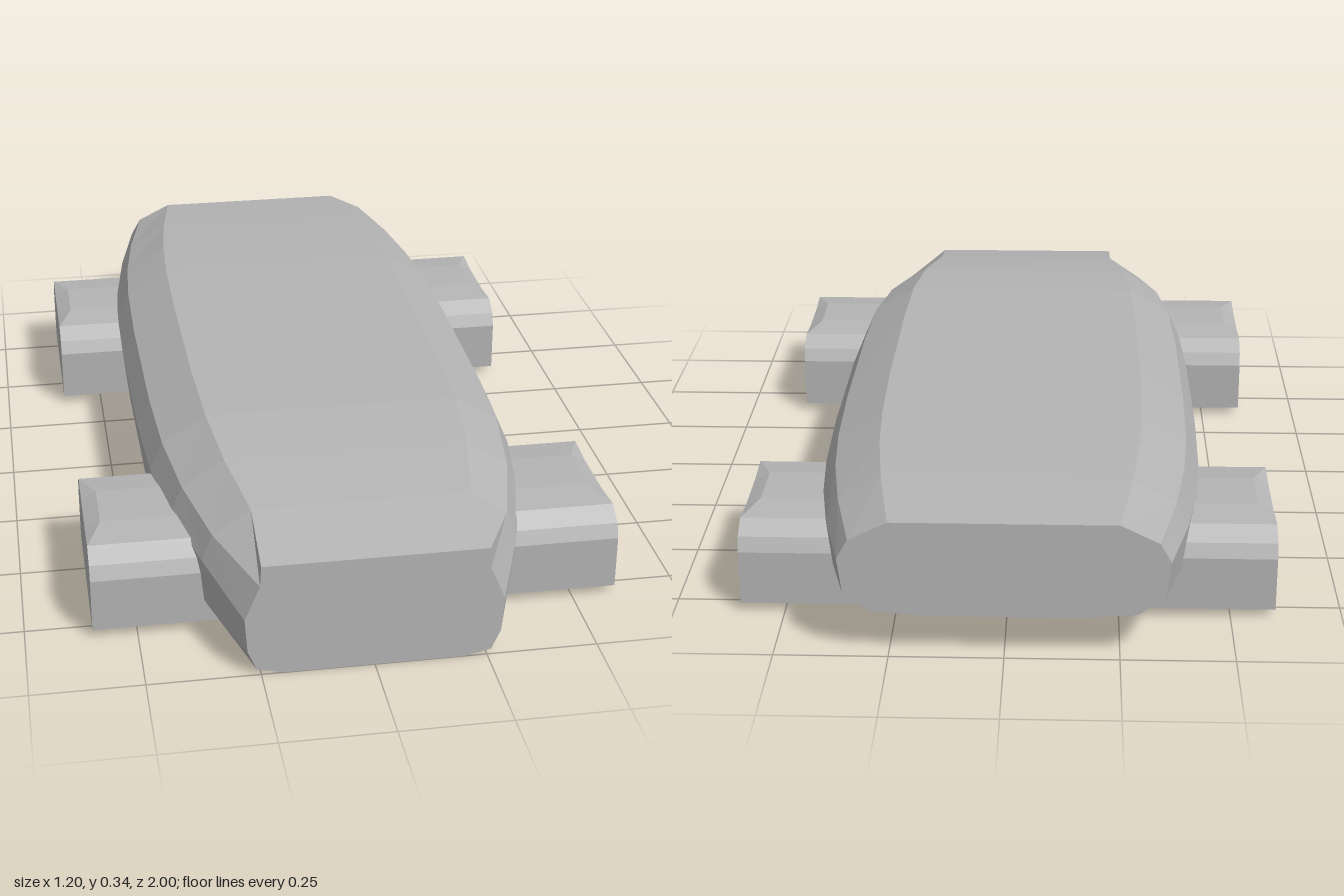
import * as THREE from 'three';

// Skin a list of equal-length closed rings and cap both ends.
// Rings run counter-clockwise as seen from the first ring's outer side.
function loft(rings) {
  const pos = [];
  const tri = (a, b, c) => pos.push(...a, ...b, ...c);
  const n = rings[0].length;
  for (let i = 0; i < rings.length - 1; i++) {
    for (let j = 0; j < n; j++) {
      const k = (j + 1) % n;
      const [a, b, c, d] = [rings[i][j], rings[i][k], rings[i + 1][j], rings[i + 1][k]];
      tri(a, c, b);
      tri(b, c, d);
    }
  }
  const first = rings[0], last = rings[rings.length - 1];
  const middle = (ring) => [0, 1, 2].map((q) => ring.reduce((s, p) => s + p[q], 0) / n);
  const m0 = middle(first), m1 = middle(last);
  for (let j = 0; j < n; j++) {
    const k = (j + 1) % n;
    tri(m0, first[j], first[k]);
    tri(m1, last[k], last[j]);
  }
  const geo = new THREE.BufferGeometry();
  geo.setAttribute('position', new THREE.Float32BufferAttribute(pos, 3));
  geo.computeVertexNormals();
  return geo;
}

// Body cross-section, as fractions of half width and height
const SECTION_X = [0.46, 0.81, 0.97, 1, 0.93, 0.69];
const SECTION_Y = [0, 0.045, 0.235, 0.61, 0.81, 1];
const NOSE_X = [0.7, 0.91, 0.98, 1, 0.88, 0.87];
const NOSE_Y = [0, 0.05, 0.22, 0.52, 0.82, 1];

// Body stations: z, half width, bottom, top
const STATIONS = [
  [1, 0.285, 0, 0.27],
  [0.82, 0.355, 0.003, 0.308],
  [0.63, 0.405, 0.006, 0.332],
  [0.43, 0.432, 0.008, 0.345],
  [0.2, 0.442, 0.01, 0.345],
  [-0.2, 0.445, 0.012, 0.345],
  [-0.45, 0.44, 0.014, 0.345],
  [-0.62, 0.427, 0.017, 0.343],
  [-0.8, 0.4, 0.055, 0.334],
  [-1, 0.355, 0.1, 0.32],
];

function bodyGeometry() {
  return loft(STATIONS.map(([z, w, bottom, top], i) => {
    const fx = i === 0 ? NOSE_X : SECTION_X;
    const fy = i === 0 ? NOSE_Y : SECTION_Y;
    const half = fx.map((f, j) => [f * w, bottom + fy[j] * (top - bottom), z]);
    return [...half, ...half.map(([x, y]) => [-x, y, z]).reverse()];
  }));
}

// Wheel pod: arched block whose outer top edge is scooped down
function podGeometry() {
  const ring = (x, crown, inset) => {
    const half = [[0.21, 0.02], [0.21, 0.145], [0.197, 0.178], [0.155, 0.205], [0.07, crown]];
    const side = half.map(([z, y], j) => [j === 4 ? x - inset : x, y, -z]);
    return [...side, ...side.map(([px, y, z]) => [px, y, -z]).reverse()];
  };
  return loft([ring(0.6, 0.197, 0), ring(0.599, 0.215, 0.034), ring(0.25, 0.215, 0)]);
}

export function createModel() {
  const model = new THREE.Group();
  model.name = 'car';
  const grey = new THREE.MeshStandardMaterial({ color: 0xb4b4b4, flatShading: true });
  grey.name = 'grey';

  const body = new THREE.Mesh(bodyGeometry(), grey);
  body.name = 'body';
  model.add(body);

  // Four pods, turned round for the right side
  const podGeo = podGeometry();
  for (const [end, z] of [['front', 0.59], ['rear', -0.59]]) {
    for (const side of ['Left', 'Right']) {
      const pod = new THREE.Mesh(podGeo, grey);
      pod.name = `${end}${side}WheelPod`;
      pod.position.z = z;
      if (side === 'Right') pod.rotation.y = Math.PI;
      model.add(pod);
    }
  }
  return model;
}
